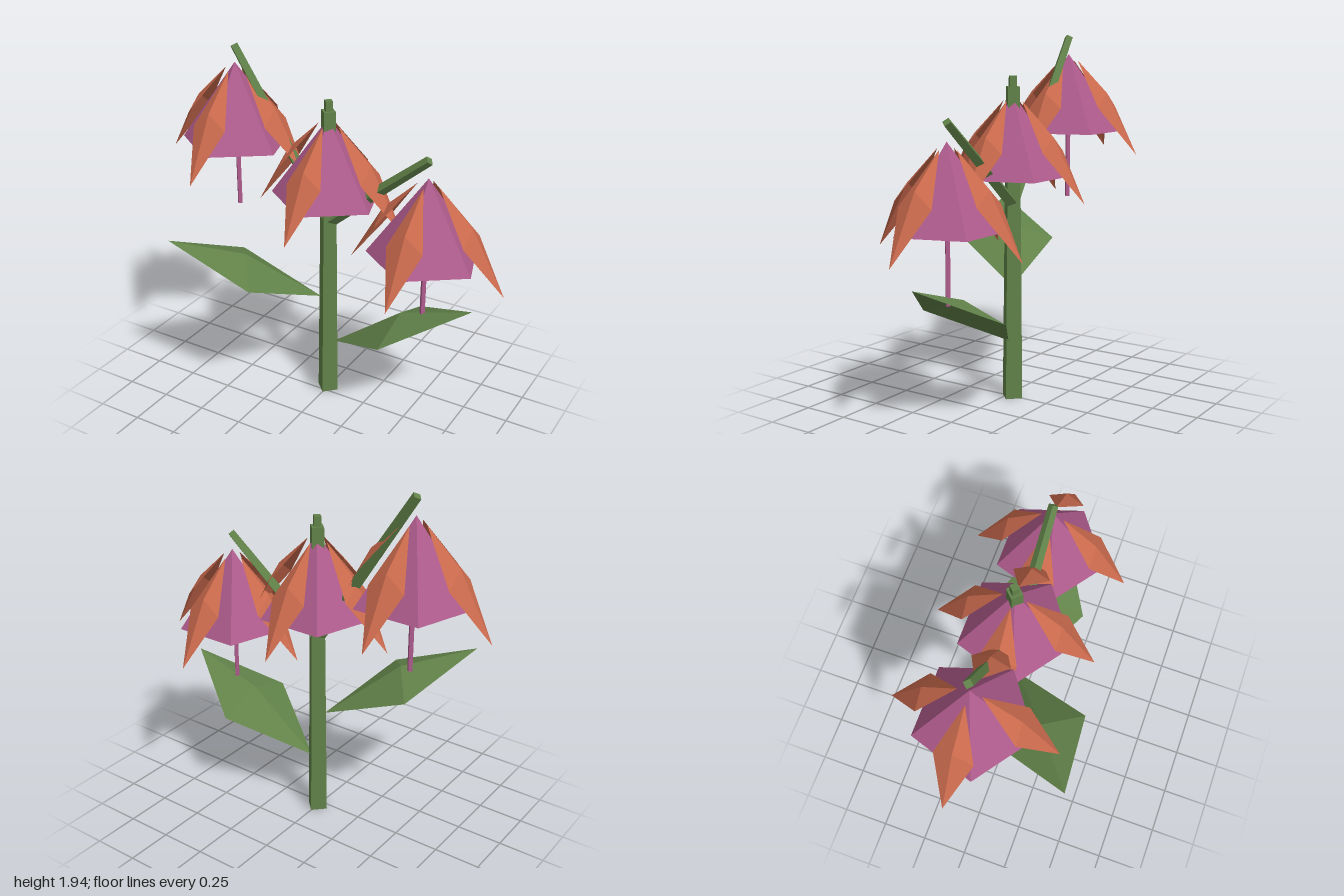
import * as THREE from 'three';

const make = (name, color) =>
  new THREE.MeshStandardMaterial({ name, color, flatShading: true, side: THREE.DoubleSide });

export function createModel() {
  const green = make('leafGreen', 0x618249);
  const pink = make('bellPink', 0xae5b8c);
  const orange = make('petalOrange', 0xc9694c);

  const model = new THREE.Group();
  model.name = 'bellFlowerPlant';
  // everything grows around the stem axis
  const plant = new THREE.Group();
  plant.name = 'plant';
  plant.position.z = -0.037;
  model.add(plant);

  const add = (parent, name, geometry, material) => {
    const mesh = new THREE.Mesh(geometry, material);
    mesh.name = name;
    parent.add(mesh);
    return mesh;
  };

  // Folded diamond blade running outward along +x from base to tip, with a raised rib
  function blade([bx, by], [tx, ty], halfWidth, rise) {
    const mx = (bx + tx) / 2, my = (by + ty) / 2;
    const base = [bx, by, 0], tip = [tx, ty, 0], rib = [mx, my + rise, 0];
    const left = [mx, my, -halfWidth], right = [mx, my, halfWidth];
    const faces = [base, right, rib, right, tip, rib, tip, left, rib, left, base, rib];
    const g = new THREE.BufferGeometry();
    g.setAttribute('position', new THREE.Float32BufferAttribute(faces.flat(), 3));
    g.computeVertexNormals();
    return g;
  }

  // Four-sided tapering stalk between two points
  function stalk(name, from, to, r0, r1, material, parent = plant) {
    const a = new THREE.Vector3(...from), b = new THREE.Vector3(...to);
    const dir = b.clone().sub(a);
    const mesh = add(parent, name, new THREE.CylinderGeometry(r1, r0, dir.length(), 4), material);
    mesh.position.copy(a).add(b).multiplyScalar(0.5);
    mesh.quaternion.setFromUnitVectors(new THREE.Vector3(0, 1, 0), dir.normalize());
  }

  // Main stem
  stalk('stem', [0, 0, 0], [0, 1.665, 0], 0.063, 0.043, green);

  // Leaves: the right-hand one points along +x, the other forward and to -x
  add(plant, 'lowerLeaf', blade([0.04, 0.322], [0.84, 0.748], 0.255, 0.09), green);
  const upper = add(plant, 'upperLeaf', blade([0.04, 0.6], [0.842, 0.983], 0.255, 0.09), green);
  upper.rotation.y = Math.PI + Math.atan2(0.507, 0.675);

  // Flowers: x position and height of the bell rim
  for (const [x, y] of [[-0.565, 1.4], [0, 1.197], [0.565, 0.99]]) {
    stalk('branch', [0, 1.05, 0], [x, y + 0.522, 0], 0.036, 0.025, green);

    const flower = new THREE.Group();
    flower.name = 'flower';
    flower.position.set(x, y, 0);
    plant.add(flower);

    add(flower, 'bell', new THREE.ConeGeometry(0.305, 0.43, 5), pink).position.y = 0.215;
    stalk('pistil', [0, -0.37, 0], [0, 0.02, 0], 0.015, 0.015, pink, flower);

    const petal = blade([0.058, 0.395], [0.432, -0.113], 0.098, 0.078);
    for (let i = 0; i < 4; i++) {
      add(flower, 'petal', petal, orange).rotation.y = (i * Math.PI) / 2;
    }
  }
  return model;
}
